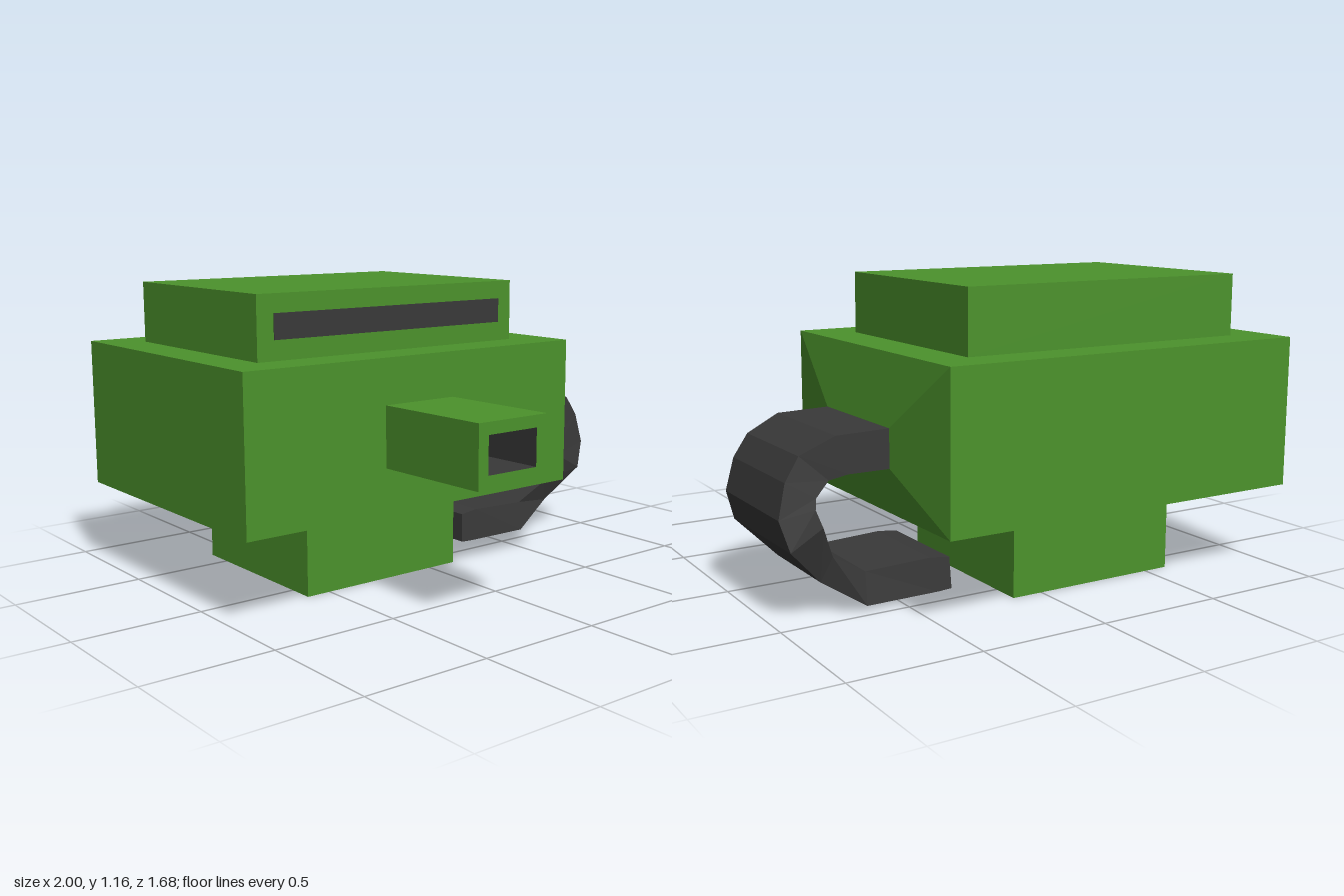
import * as THREE from 'three';

const green = new THREE.MeshStandardMaterial({ color: 0x4c932c, flatShading: true });
const dark = new THREE.MeshStandardMaterial({ color: 0x393939, flatShading: true });

// Joins four-cornered rings into a faceted solid; corners run anticlockwise seen from ahead.
function loft(rings, startCap = true, endCap = true) {
  const pos = [];
  const quad = (a, b, c, d) => pos.push(...a, ...b, ...c, ...a, ...c, ...d);
  for (let k = 0; k < rings.length - 1; k++) {
    for (let i = 0; i < 4; i++) {
      const j = (i + 1) % 4;
      quad(rings[k][i], rings[k][j], rings[k + 1][j], rings[k + 1][i]);
    }
  }
  if (startCap) quad(...[...rings[0]].reverse());
  if (endCap) quad(...rings[rings.length - 1]);
  const geo = new THREE.BufferGeometry();
  geo.setAttribute('position', new THREE.Float32BufferAttribute(pos, 3));
  geo.computeVertexNormals();
  return geo;
}

const ringX = (x, y0, y1, z0, z1) => [[x, y0, z1], [x, y0, z0], [x, y1, z0], [x, y1, z1]];
const ringZ = (z, x0, x1, y0, y1) => [[x0, y0, z], [x1, y0, z], [x1, y1, z], [x0, y1, z]];

export function createModel() {
  const model = new THREE.Group();
  const add = (name, geo, mat) => {
    const mesh = new THREE.Mesh(geo, mat);
    mesh.name = name;
    model.add(mesh);
  };
  const box = (name, mat, x0, x1, y0, y1, z0, z1) => {
    const geo = new THREE.BoxGeometry(x1 - x0, y1 - y0, z1 - z0);
    add(name, geo.translate((x0 + x1) / 2, (y0 + y1) / 2, (z0 + z1) / 2), mat);
  };

  // Main block, with its shallow taper towards the hose
  add('body', loft([
    ringX(-1, 0.335, 0.92, -0.84, 0.335),
    ringX(0.53, 0.335, 0.92, -0.84, 0.335),
    ringX(0.575, 0.52, 0.665, -0.5, 0),
  ]), green);

  box('base', green, -0.6, 0.125, 0, 0.335, -0.615, 0.105);
  box('topBlock', green, -0.84, 0.365, 0.92, 1.16, -0.68, 0.17);
  box('frontSlot', dark, -0.77, 0.3, 0.995, 1.09, 0.1, 0.173);

  // Spout: outer walls, front rim and dark lining
  add('spout', loft([
    ringZ(0.32, -0.4, -0.08, 0.51, 0.745),
    ringZ(0.84, -0.4, -0.08, 0.515, 0.75),
  ], true, false), green);

  const toPoints = (ring) => ring.map(([x, y]) => new THREE.Vector2(x, y));
  const mouth = ringZ(0.84, -0.355, -0.13, 0.565, 0.705);
  const rim = new THREE.Shape(toPoints(ringZ(0, -0.4, -0.08, 0.515, 0.75)));
  rim.holes.push(new THREE.Path(toPoints(mouth)));
  add('spoutRim', new THREE.ShapeGeometry(rim).translate(0, 0, 0.84), green);
  add('spoutLining', loft([
    mouth,
    ringZ(0.45, -0.355, -0.13, 0.56, 0.675),
  ], false, true), dark);

  // Hose curling under: inner x, y, outer x, y, then half-width at the inner and outer edge
  const stations = [
    [0.56, 0.52, 0.56, 0.665, 0.25, 0.25],
    [0.735, 0.52, 0.78, 0.66, 0.25, 0.25],
    [0.805, 0.505, 0.91, 0.6, 0.24, 0.23],
    [0.855, 0.45, 0.965, 0.515, 0.245, 0.235],
    [0.86, 0.41, 0.995, 0.39, 0.25, 0.245],
    [0.835, 0.345, 0.96, 0.275, 0.255, 0.26],
    [0.785, 0.225, 0.82, 0.13, 0.22, 0.19],
    [0.65, 0.145, 0.65, 0.02, 0.2, 0.213],
    [0.385, 0.155, 0.36, 0.022, 0.205, 0.213],
    [0.305, 0.145, 0.3, 0.025, 0.205, 0.213],
  ];
  const mid = -0.25;
  add('hose', loft(stations.map(([ix, iy, ox, oy, wi, wo]) => [
    [ix, iy, mid + wi], [ix, iy, mid - wi], [ox, oy, mid - wo], [ox, oy, mid + wo],
  ])), dark);

  return model;
}
